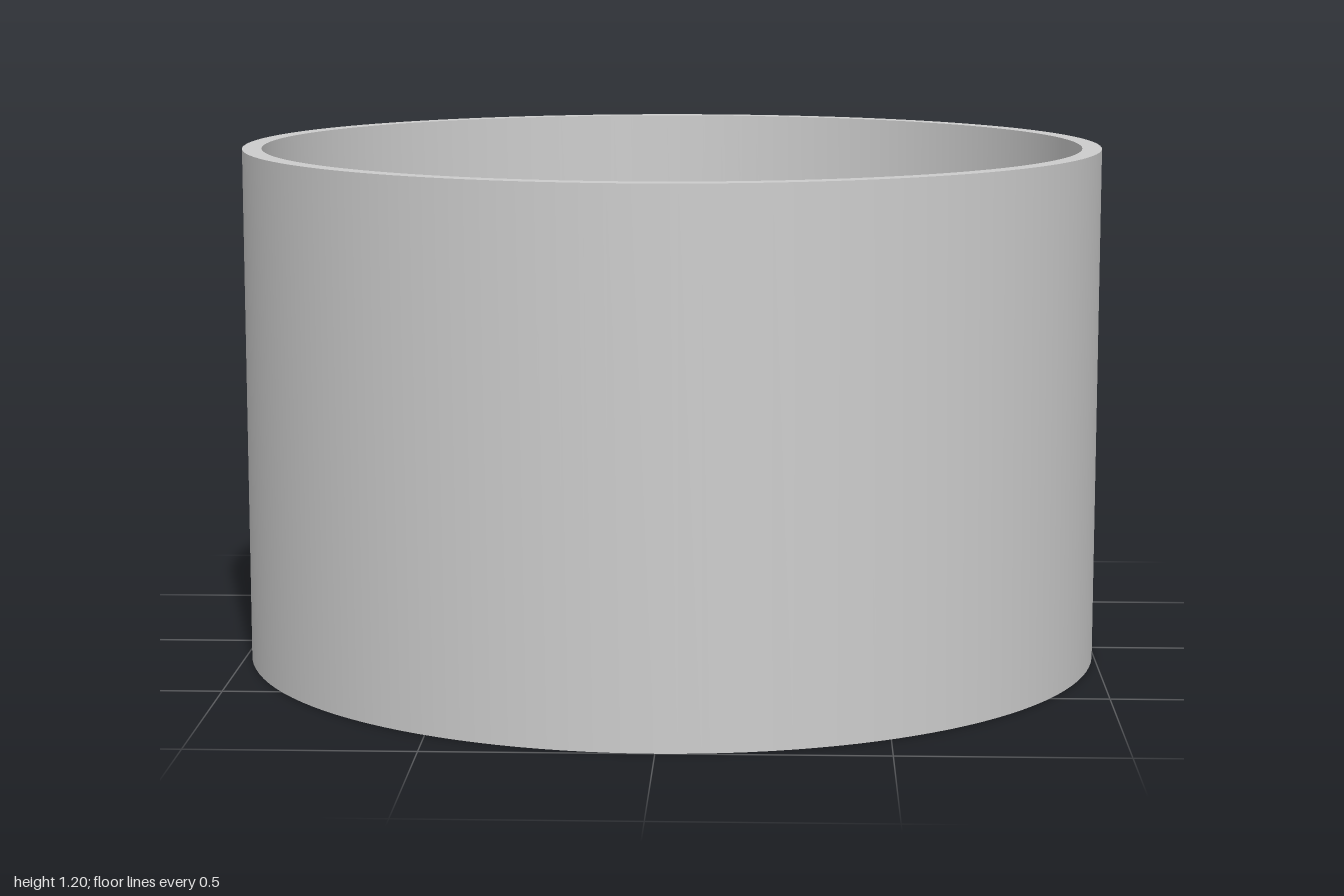
import * as THREE from 'three';
import { toCreasedNormals } from 'three/addons/utils/BufferGeometryUtils.js';

const RADIUS = 1, INNER = 0.955, HEIGHT = 1.2, FLOOR = 0.045;
const HOLE_RADIUS = 0.047, HOLE_OFFSET = 0.283, SEGMENTS = 128;

const holeCentres = [[1, 1], [-1, 1], [-1, -1], [1, -1]]
  .map(([x, z]) => [x * HOLE_OFFSET, z * HOLE_OFFSET]);

// Surface of revolution from [radius, height] pairs, with sharp corners kept
function revolve(profile) {
  const points = profile.map(([r, y]) => new THREE.Vector2(r, y));
  return toCreasedNormals(new THREE.LatheGeometry(points, SEGMENTS), 0.6);
}

// Flat disc pierced by the four drain holes
function piercedDisc(radius) {
  const shape = new THREE.Shape();
  shape.absarc(0, 0, radius, 0, Math.PI * 2, false);
  for (const [x, z] of holeCentres) {
    const hole = new THREE.Path();
    hole.absarc(x, z, HOLE_RADIUS, 0, Math.PI * 2, true);
    shape.holes.push(hole);
  }
  return new THREE.ShapeGeometry(shape, SEGMENTS / 2);
}

export function createModel() {
  const group = new THREE.Group();
  group.name = 'pot';
  const grey = new THREE.MeshStandardMaterial({ color: 0xcccccc });
  grey.name = 'light grey';

  const add = (name, geometry) => {
    const mesh = new THREE.Mesh(geometry, grey);
    mesh.name = name;
    group.add(mesh);
    return mesh;
  };

  // Outer wall, rim and inner wall
  add('wall', revolve([[RADIUS, 0], [RADIUS, HEIGHT], [INNER, HEIGHT], [INNER, FLOOR]]));

  // Underside and inner floor
  add('underside', piercedDisc(RADIUS).rotateX(Math.PI / 2));
  add('innerFloor', piercedDisc(INNER).rotateX(-Math.PI / 2).translate(0, FLOOR, 0));

  // Inside faces of the drain holes
  const bore = revolve([[HOLE_RADIUS, FLOOR], [HOLE_RADIUS, 0]]);
  holeCentres.forEach(([x, z], i) => {
    add(`drainHole${i + 1}`, bore).position.set(x, 0, z);
  });

  return group;
}
